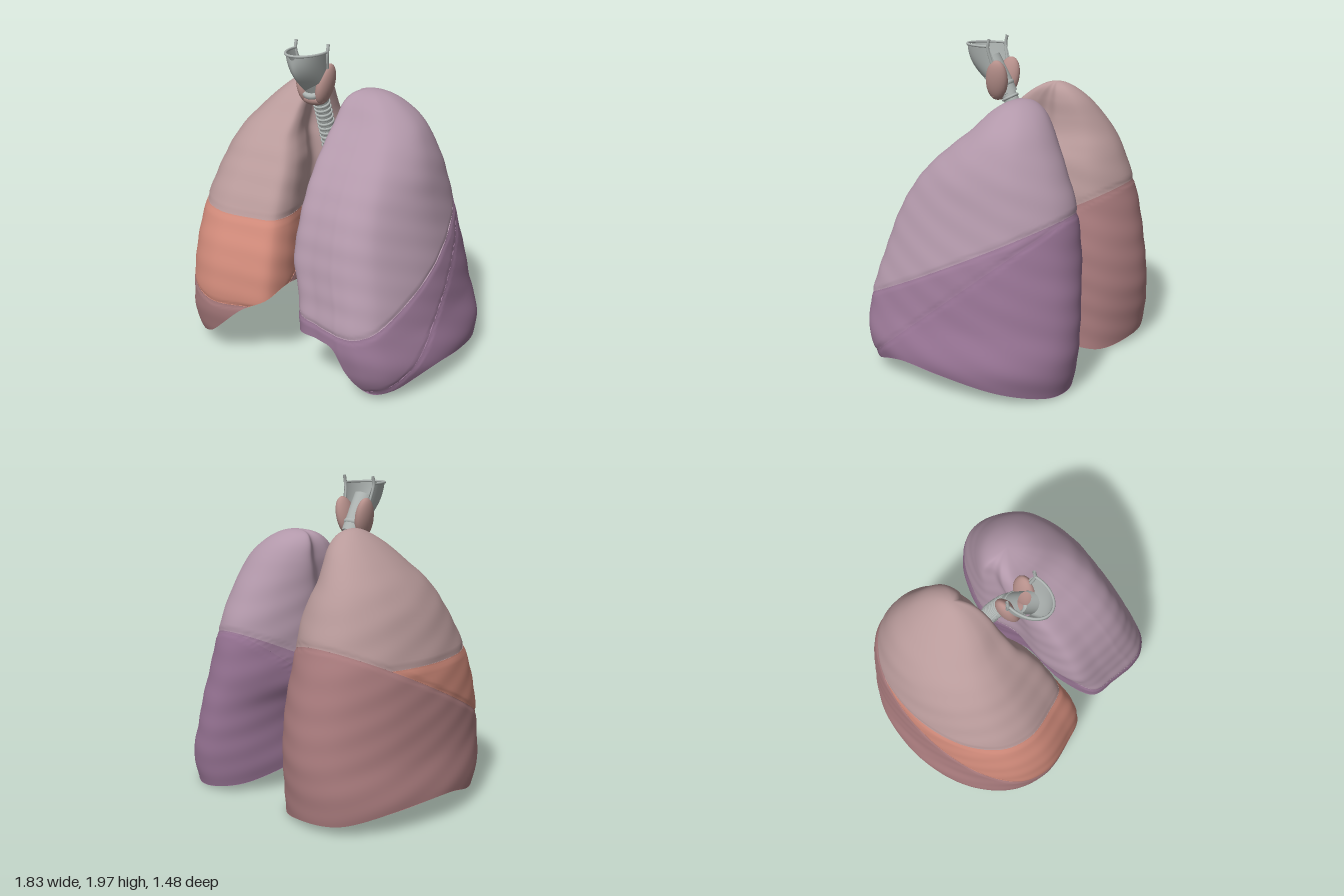
import * as THREE from 'three';

const mat = (color) => new THREE.MeshStandardMaterial({ color, roughness: 0.8, side: THREE.DoubleSide });
const CARTILAGE = 0xaeb4b2, GLAND = 0xb58f8a;

// Fissure planes: positive above
const oblique = (p) => p[1] - 0.42 - 0.49 * (0.73 - p[2]);
const horizontal = (p) => p[1] - 0.96;
const lingulaCut = (p) => p[1] - 0.25 - 0.82 * (0.4 - p[2]);
const below = (f) => (p) => -f(p);

// levels, apex first: [y, lateral x, medial x, back z, front z]; outline: [medial-ward, forward, rim height]
const RIGHT = {
  name: 'rightLung', dome: 0.47,
  levels: [
    [1.71, -0.3, -0.3, -0.16, -0.16], [1.67, -0.395, -0.225, -0.28, -0.03], [1.6, -0.48, -0.2, -0.36, 0.07],
    [1.5, -0.58, -0.19, -0.43, 0.17], [1.4, -0.665, -0.17, -0.49, 0.28], [1.32, -0.715, -0.13, -0.53, 0.35],
    [1.25, -0.75, -0.1, -0.56, 0.4], [1.1, -0.8, -0.07, -0.61, 0.5], [0.95, -0.84, -0.05, -0.65, 0.58],
    [0.7, -0.865, -0.01, -0.7, 0.69], [0.42, -0.885, 0, -0.73, 0.73], [0.2, -0.92, 0, -0.72, 0.69],
    [0, -0.9, 0, -0.69, 0.6]],
  outline: [
    [-1, 0, 0.17], [-0.88, 0.5, 0.1], [-0.55, 0.85, 0.09], [-0.1, 1, 0.17], [0.45, 0.98, 0.4],
    [0.84, 0.9, 0.5], [0.92, 0.72, 0.55], [0.84, 0.4, 0.5], [0.7, 0.12, 0.38], [0.97, -0.25, 0.13],
    [0.8, -0.75, 0.02], [0.2, -1, 0.06], [-0.4, -0.92, 0.08], [-0.83, -0.55, 0.15]],
  lobes: [
    { name: 'rightUpperLobe', color: 0xb89a9a, inside: [horizontal, oblique] },
    { name: 'rightMiddleLobe', color: 0xd08a7a, inside: [below(horizontal), oblique] },
    { name: 'rightLowerLobe', color: 0xaa7c7e, inside: [below(oblique)] }],
};
const LEFT = {
  name: 'leftLung', dome: 0.4,
  levels: [
    [1.67, 0.17, 0.17, -0.15, -0.15], [1.65, 0.29, 0.07, -0.23, -0.06], [1.6, 0.385, 0.025, -0.3, 0.01],
    [1.5, 0.5, 0.005, -0.375, 0.1], [1.4, 0.565, 0, -0.43, 0.22], [1.25, 0.63, 0, -0.505, 0.38],
    [1.1, 0.67, 0, -0.565, 0.49], [0.95, 0.71, 0, -0.6, 0.565], [0.75, 0.765, 0.005, -0.63, 0.63],
    [0.6, 0.8, 0.06, -0.65, 0.67], [0.42, 0.84, 0.09, -0.665, 0.71], [0.2, 0.91, 0.1, -0.665, 0.69],
    [0, 0.87, 0.14, -0.63, 0.6]],
  outline: [
    [-1, 0, 0.15], [-0.93, 0.4, 0.17], [-0.62, 0.85, 0.08], [-0.32, 0.98, 0.06], [-0.02, 1, 0.19],
    [0.12, 0.99, 0.33], [0.42, 0.96, 0.36], [0.88, 0.87, 0.35], [1, 0.5, 0.34], [0.88, 0.05, 0.28],
    [1, -0.3, 0.2], [0.65, -0.78, 0.08], [0.15, -1, 0.04], [-0.4, -0.92, 0.03], [-0.85, -0.55, 0.08]],
  lobes: [
    { name: 'leftUpperLobe', color: 0xb298aa, inside: [oblique] },
    { name: 'leftLingula', color: 0x9a7896, inside: [below(oblique), lingulaCut] },
    { name: 'leftLowerLobe', color: 0x957292, inside: [below(oblique), below(lingulaCut)] }],
};

// Grid surface from point(row 0..1, around 0..1); wraps around when closed
function gridSurface(rows, cols, closed, point, flip = false) {
  const pos = [], idx = [], w = closed ? cols : cols + 1;
  for (let i = 0; i <= rows; i++)
    for (let j = 0; j < w; j++) pos.push(...point(i / rows, j / cols));
  for (let i = 0; i < rows; i++)
    for (let j = 0; j < cols; j++) {
      const a = i * w + j, b = i * w + ((j + 1) % w), c = a + w, d = b + w;
      idx.push(...(flip ? [a, c, b, b, c, d] : [a, b, c, b, d, c]));
    }
  const g = new THREE.BufferGeometry();
  g.setAttribute('position', new THREE.Float32BufferAttribute(pos, 3));
  g.setIndex(idx);
  g.computeVertexNormals();
  return g;
}

// Sink the fissures and add faint rib ripples
function sculpt(g, lobes) {
  const p = g.attributes.position, n = g.attributes.normal;
  for (let i = 0; i < p.count; i++) {
    const v = [p.getX(i), p.getY(i), p.getZ(i)];
    const d = Math.max(...lobes.map((l) => Math.min(...l.inside.map((f) => f(v)))));
    const ripple = 0.0015 * Math.sin(38 * (v[1] - 0.4 * v[2])) * THREE.MathUtils.smoothstep(1.6 - v[1], 0, 0.4);
    const k = ripple - 0.009 * Math.exp(-((d / 0.013) ** 2));
    p.setXYZ(i, v[0] + k * n.getX(i), v[1] + k * n.getY(i), v[2] + k * n.getZ(i));
  }
  g.computeVertexNormals();
  return g;
}

// Keep the part of a polygon where f is positive
function clip(poly, f) {
  const out = [];
  poly.forEach((a, i) => {
    const b = poly[(i + 1) % poly.length], fa = f(a), fb = f(b);
    if (fa >= 0) out.push(a);
    if (fa >= 0 !== fb >= 0) out.push(a.map((v, k) => v + ((b[k] - v) * fa) / (fa - fb)));
  });
  return out;
}

// pieces: [surface, tests that its kept part must pass]
function cutLobe(lobe, pieces) {
  const pos = [], nor = [];
  for (const [g, tests] of pieces) {
    const p = g.attributes.position, n = g.attributes.normal, ix = g.index.array;
    const vert = (i) => [p.getX(i), p.getY(i), p.getZ(i), n.getX(i), n.getY(i), n.getZ(i)];
    for (let t = 0; t < ix.length; t += 3) {
      const poly = tests.reduce(clip, [vert(ix[t]), vert(ix[t + 1]), vert(ix[t + 2])]);
      for (let k = 2; k < poly.length; k++)
        for (const v of [poly[0], poly[k - 1], poly[k]]) {
          pos.push(v[0], v[1], v[2]);
          nor.push(v[3], v[4], v[5]);
        }
    }
  }
  const g = new THREE.BufferGeometry();
  g.setAttribute('position', new THREE.Float32BufferAttribute(pos, 3));
  g.setAttribute('normal', new THREE.Float32BufferAttribute(nor, 3));
  const m = new THREE.Mesh(g, mat(lobe.color));
  m.name = lobe.name;
  return m;
}

function makeLung({ name, dome, levels, outline, lobes }) {
  // Square-root spacing below the apex keeps the top round
  const top = levels[0][0], depth = (y) => Math.sqrt(Math.max(0, 1 - y / top));
  const size = new THREE.CubicInterpolant(levels.map((l) => depth(l[0])), levels.flatMap((l) => l.slice(1)), 4, new Float32Array(4));
  const ring = new THREE.CatmullRomCurve3(outline.map((o) => new THREE.Vector3(...o)), true);
  const at = (y, u, v) => {
    const [xl, xm, zb, zf] = size.evaluate(depth(y));
    return [xl + ((xm - xl) * (u + 1)) / 2, y, zb + ((zf - zb) * (v + 1)) / 2];
  };
  const wallPoint = (t, a) => {
    const o = ring.getPoint(a), y = top * Math.sin((t * 0.9995 * Math.PI) / 2);
    return at(y < 0.9 ? o.z + (y / 0.9) * (0.9 - o.z) : y, o.x, o.y);
  };
  const toward = (c, r, s) => c.map((v, k) => v + (r[k] - v) * s);
  // Domed hollow that rests on the diaphragm, highest toward the front
  const peak = at(dome, 0.1, 0.25);
  const basePoint = (s, a) => {
    const r = wallPoint(0, a), p = toward(peak, r, s);
    return [p[0], dome + (r[1] - dome) * s ** 1.7, p[2]];
  };
  // Wall of a fissure, spanning the lung where its plane meets the outside
  const fissure = (f) => {
    const edge = (a) => {
      let lo = 0, hi = 1;
      const start = f(wallPoint(0, a)) > 0;
      if (start === f(wallPoint(1, a)) > 0) return wallPoint(0, a);
      for (let i = 0; i < 14; i++) {
        const m = (lo + hi) / 2;
        if (f(wallPoint(m, a)) > 0 === start) lo = m; else hi = m;
      }
      return wallPoint(lo, a);
    };
    const front = edge(0), across = edge(0.5), mid = toward(front, across, 0.5);
    return gridSurface(6, 96, true, (s, a) => toward(mid, edge(a), s * 0.99));
  };
  const isLeft = levels[1][1] > 0;
  const wall = sculpt(gridSurface(120, 132, true, wallPoint, isLeft), lobes);
  const base = gridSurface(24, 132, true, basePoint, isLeft);
  const lung = new THREE.Group();
  lung.name = name;
  for (const l of lobes) {
    const inner = l.inside.map((f) => [fissure(f), l.inside.filter((other) => other !== f)]);
    lung.add(cutLobe(l, [[wall, l.inside], [base, l.inside], ...inner]));
  }
  return lung;
}

function makeAirway() {
  const group = new THREE.Group();
  group.name = 'airway';
  const add = (name, geo, color) => {
    const m = new THREE.Mesh(geo, mat(color));
    m.name = name;
    group.add(m);
    return m;
  };
  const path = (...pts) => new THREE.CatmullRomCurve3(pts.map((p) => new THREE.Vector3(...p)));

  // Ringed windpipe and bronchi
  const ringed = (name, curve, r, count) => {
    add(name, new THREE.TubeGeometry(curve, 40, r, 20), CARTILAGE);
    const torus = new THREE.TorusGeometry(r, 0.009, 8, 24);
    for (let i = 0; i <= count; i++) {
      const m = add(name + 'Ring', torus, CARTILAGE);
      m.position.copy(curve.getPointAt(i / count));
      m.lookAt(m.position.clone().add(curve.getTangentAt(i / count)));
    }
  };
  ringed('trachea', path([-0.08, 1.68, 0.1], [-0.08, 1.6, 0.055], [-0.085, 1.4, -0.02], [-0.08, 1.2, -0.08], [-0.055, 1.1, -0.1]), 0.048, 18);
  ringed('leftBronchus', path([-0.055, 1.1, -0.1], [-0.02, 1.03, -0.11], [0.08, 0.96, -0.12]), 0.036, 6);
  ringed('rightBronchus', path([-0.07, 1.13, -0.09], [-0.13, 1.07, -0.1], [-0.24, 1.0, -0.11]), 0.036, 6);

  // Voice box: inner tube, lower ring and open shield with horns
  add('larynxTube', new THREE.TubeGeometry(path([-0.08, 1.64, 0.085], [-0.08, 1.74, 0.14], [-0.08, 1.86, 0.21]), 16, 0.066, 24), CARTILAGE);
  const cricoid = add('cricoidRing', new THREE.TorusGeometry(0.062, 0.02, 10, 28), CARTILAGE);
  cricoid.position.set(-0.08, 1.69, 0.125);
  cricoid.rotation.x = Math.PI / 2 + 0.45;
  add('larynxShield', gridSurface(20, 40, false, (t, a) => {
    const s = 2 * a - 1, ang = s * 1.75, front = 1 - Math.abs(s);
    const low = 1.8 - 0.09 * front, high = 1.95 - 0.03 * Math.exp(-((s / 0.15) ** 2));
    return [-0.078 + (0.095 + 0.02 * t) * Math.sin(ang), low + (high - low) * t,
      0.13 + 0.06 * t + (0.1 + 0.07 * t + 0.035 * Math.sin(Math.PI * t)) * Math.cos(ang)];
  }), CARTILAGE);
  const rim = [];
  for (let i = 0; i <= 12; i++) {
    const ang = (i / 6 - 1) * 1.75;
    rim.push([-0.078 + 0.115 * Math.sin(ang), 1.945, 0.19 + 0.17 * Math.cos(ang)]);
  }
  add('shieldRim', new THREE.TubeGeometry(path(...rim), 40, 0.008, 8), CARTILAGE);
  for (const s of [-1, 1]) {
    const x = (d) => -0.078 + s * d;
    add('shieldHorn', new THREE.TubeGeometry(path([x(0.085), 1.72, 0.11], [x(0.1), 1.84, 0.14], [x(0.115), 1.94, 0.16], [x(0.115), 1.99, 0.15]), 16, 0.01, 8), CARTILAGE);
    // Gland lobe beside the windpipe
    const lobe = add('thyroidLobe', new THREE.SphereGeometry(1, 24, 18), GLAND);
    lobe.scale.set(0.046, 0.13, 0.075);
    lobe.position.set(x(0.074), 1.735, 0.12);
    lobe.rotation.set(-0.15, 0, -s * 0.2);
  }
  const isthmus = add('thyroidIsthmus', new THREE.SphereGeometry(1, 24, 16), GLAND);
  isthmus.scale.set(0.085, 0.04, 0.045);
  isthmus.position.set(-0.078, 1.64, 0.14);
  return group;
}

export function createModel() {
  const model = new THREE.Group();
  model.name = 'lungsAndAirway';
  model.add(makeLung(RIGHT), makeLung(LEFT), makeAirway());
  return model;
}
